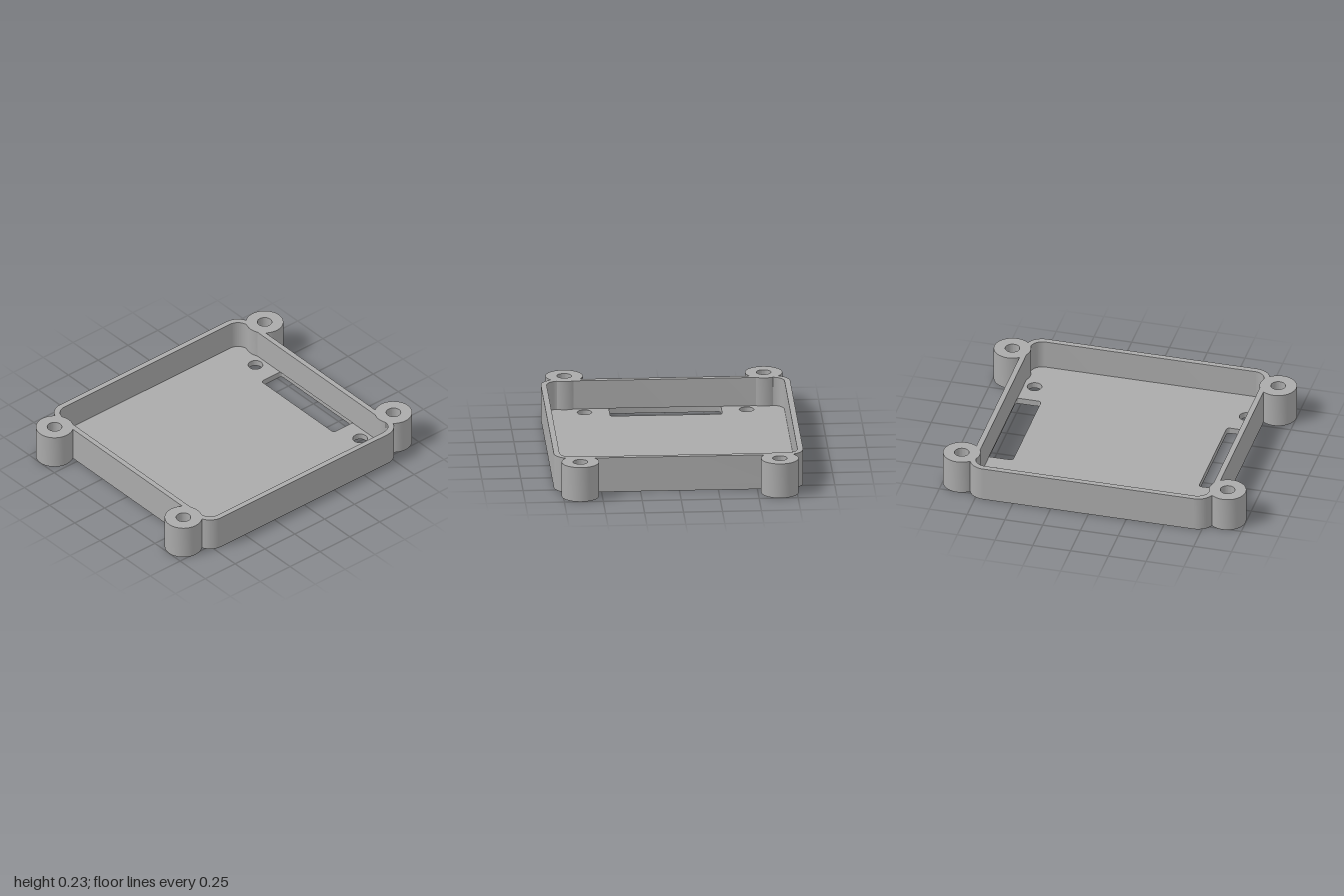
import * as THREE from 'three';
import { toCreasedNormals } from 'three/addons/utils/BufferGeometryUtils.js';

const HEIGHT = 0.23, FLOOR = 0.04;
const SIDES = [-1, 1];

// Rounded rectangle centred on (cx, cy) with half sizes w and h
function roundedRect(path, cx, cy, w, h, r) {
  const q = Math.PI / 2;
  path.moveTo(cx + w, cy - h + r);
  path.absarc(cx + w - r, cy + h - r, r, 0, q);
  path.absarc(cx - w + r, cy + h - r, r, q, 2 * q);
  path.absarc(cx - w + r, cy - h + r, r, 2 * q, 3 * q);
  path.absarc(cx + w - r, cy - h + r, r, 3 * q, 4 * q);
  path.closePath();
  return path;
}

function circle(path, x, y, r) {
  return path.absarc(x, y, r, 0, Math.PI * 2);
}

// Upright extrusion of a plan shape between two heights
function slab(name, shape, y0, y1, material) {
  const raw = new THREE.ExtrudeGeometry(shape, { depth: y1 - y0, bevelEnabled: false, curveSegments: 24 });
  raw.rotateX(-Math.PI / 2).translate(0, y0, 0);
  const mesh = new THREE.Mesh(toCreasedNormals(raw, 0.6), material);
  mesh.name = name;
  return mesh;
}

export function createModel() {
  const group = new THREE.Group();
  group.name = 'mountingTray';
  const grey = new THREE.MeshStandardMaterial({ color: 0xaaaaaa });
  grey.name = 'grey plastic';

  // Floor with a long slot on each side and four screw holes
  const floor = roundedRect(new THREE.Shape(), 0, 0, 0.808, 0.8, 0.11);
  for (const sx of SIDES) {
    floor.holes.push(roundedRect(new THREE.Path(), sx * 0.7, 0, 0.085, 0.36, 0.02));
    for (const sz of SIDES) floor.holes.push(circle(new THREE.Path(), sx * 0.702, sz * 0.52, 0.047));
  }
  group.add(slab('floor', floor, 0, FLOOR, grey));

  // Thin wall around the rim
  const wall = roundedRect(new THREE.Shape(), 0, 0, 0.808, 0.8, 0.11);
  wall.holes.push(roundedRect(new THREE.Path(), 0, 0, 0.773, 0.763, 0.08));
  group.add(slab('wall', wall, FLOOR, HEIGHT, grey));

  // Bored mounting posts at the four corners
  for (const sx of SIDES) for (const sz of SIDES) {
    const post = circle(new THREE.Shape(), 0, 0, 0.12);
    post.holes.push(circle(new THREE.Path(), 0, 0, 0.047));
    const mesh = slab('mountingPost', post, 0, HEIGHT, grey);
    mesh.position.set(sx * 0.88, 0, sz * 0.64);
    group.add(mesh);
  }
  return group;
}
